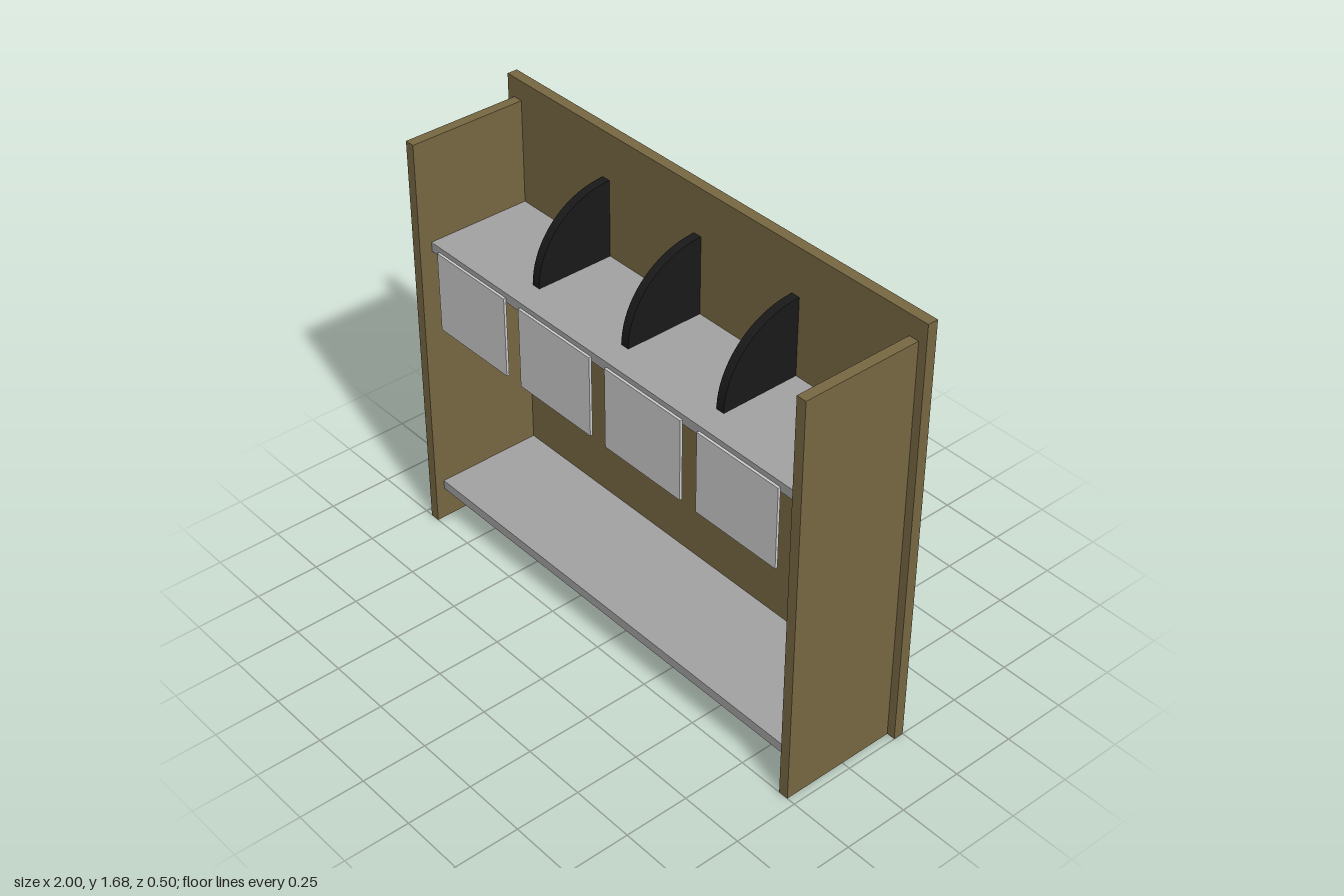
import * as THREE from 'three';

const wood = new THREE.MeshStandardMaterial({ color: 0x776742 });
const shelfGrey = new THREE.MeshStandardMaterial({ color: 0xa2a2a2 });
const lightGrey = new THREE.MeshStandardMaterial({ color: 0xcccccc });
const black = new THREE.MeshStandardMaterial({ color: 0x191919 });

// Box given by its minimum and maximum corners
function board(name, material, [x0, y0, z0], [x1, y1, z1]) {
  const mesh = new THREE.Mesh(new THREE.BoxGeometry(x1 - x0, y1 - y0, z1 - z0), material);
  mesh.position.set((x0 + x1) / 2, (y0 + y1) / 2, (z0 + z1) / 2);
  mesh.name = name;
  return mesh;
}

export function createModel() {
  const model = new THREE.Group();
  model.name = 'shelfUnit';
  const backZ = -0.21;

  // Carcass: back panel and two sides
  model.add(board('backPanel', wood, [-1, 0, -0.25], [1, 1.685, backZ]));
  model.add(board('leftSide', wood, [0.928, 0, backZ], [0.967, 1.608, 0.25]));
  model.add(board('rightSide', wood, [-0.967, 0, backZ], [-0.928, 1.608, 0.25]));

  // Shelves
  model.add(board('upperShelf', shelfGrey, [-0.928, 1.168, backZ], [0.928, 1.205, 0.2]));
  model.add(board('lowerShelf', shelfGrey, [-0.928, 0.13, backZ], [0.928, 0.167, 0.213]));

  // Thin panels hanging from the front edge of the upper shelf
  for (let i = 0; i < 4; i++) {
    const x = -0.884 + i * 0.447;
    model.add(board('hangingPanel' + (i + 1), lightGrey, [x, 0.868, 0.2], [x + 0.37, 1.185, 0.21]));
  }

  // Quarter-round dividers standing on the upper shelf
  const quarter = new THREE.Shape();
  quarter.moveTo(0, 0);
  quarter.lineTo(0.31, 0);
  quarter.absellipse(0, 0, 0.31, 0.3, 0, Math.PI / 2, false, 0);
  quarter.closePath();
  const thickness = 0.034;
  const geometry = new THREE.ExtrudeGeometry(quarter, { depth: thickness, bevelEnabled: false, curveSegments: 24 });
  geometry.rotateY(-Math.PI / 2); // shape x becomes +z, depth becomes -x
  geometry.translate(thickness / 2, 0, 0);
  for (let i = 0; i < 3; i++) {
    const divider = new THREE.Mesh(geometry, black);
    divider.name = 'divider' + (i + 1);
    divider.position.set(-0.477 + i * 0.46, 1.205, backZ);
    model.add(divider);
  }
  return model;
}
